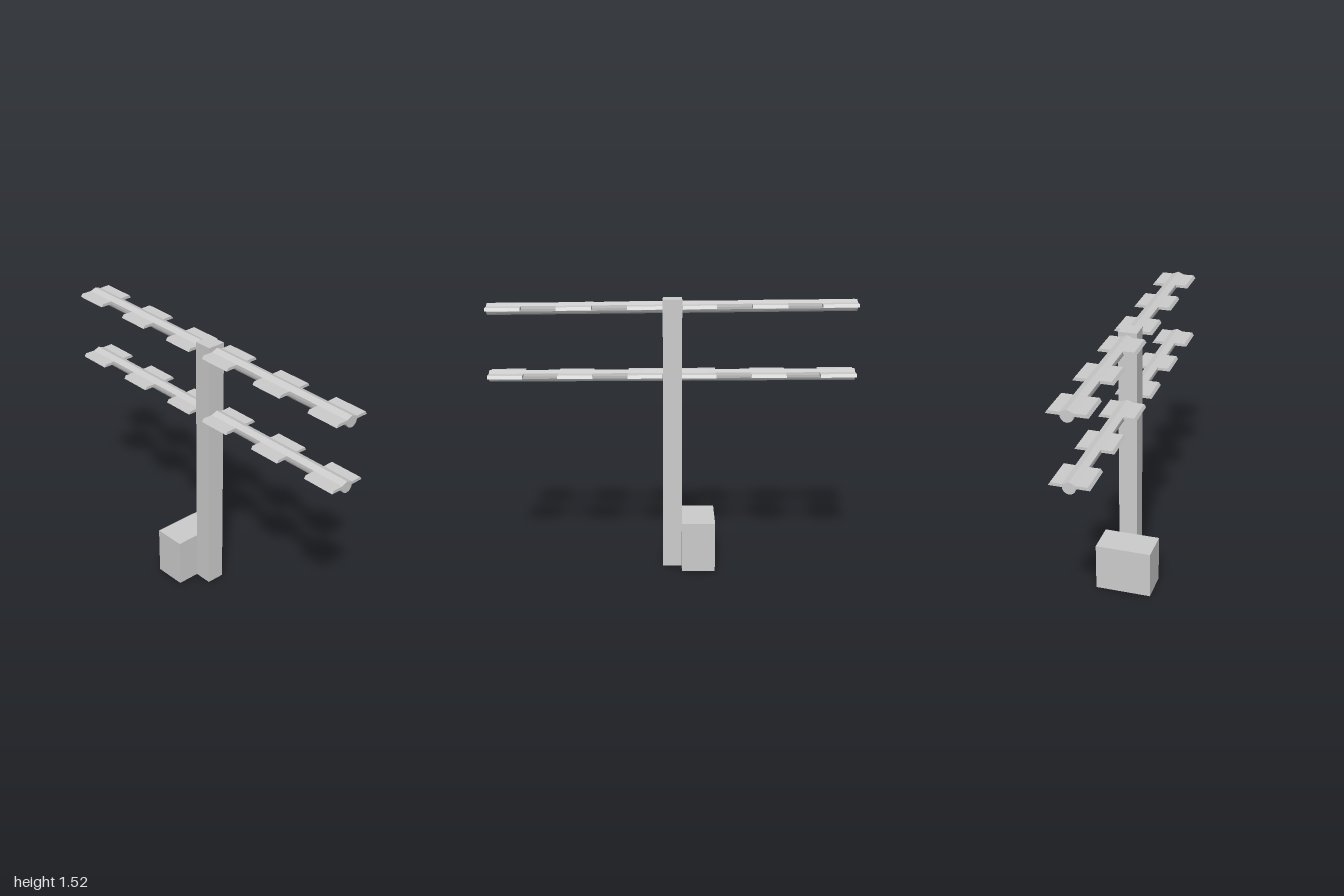
import * as THREE from 'three';

const material = new THREE.MeshStandardMaterial({ color: 0xcccccc, flatShading: true });

function box(name, x0, x1, y0, y1, z0, z1) {
  const mesh = new THREE.Mesh(new THREE.BoxGeometry(x1 - x0, y1 - y0, z1 - z0), material);
  mesh.position.set((x0 + x1) / 2, (y0 + y1) / 2, (z0 + z1) / 2);
  mesh.name = name;
  return mesh;
}

// Extrude a (z, y) profile along x from x0 to x1
function bar(name, points, x0, x1) {
  const shape = new THREE.Shape(points.map(([z, y]) => new THREE.Vector2(-z, y)));
  const geometry = new THREE.ExtrudeGeometry(shape, { depth: x1 - x0, bevelEnabled: false });
  geometry.rotateY(Math.PI / 2);
  const mesh = new THREE.Mesh(geometry, material);
  mesh.position.x = x0;
  mesh.name = name;
  return mesh;
}

// Rail: shallow ridged roof over a rounded underside
const R = 0.035;
const railProfile = [[-R, 0.051], [0, 0.065], [R, 0.051]];
for (let i = 0; i <= 8; i++) {
  const a = (i / 8) * Math.PI;
  railProfile.push([R * Math.cos(a), R - R * Math.sin(a)]);
}

// Wing: thin plate with a slanted outer edge
const wingProfile = (s) => [[s * R, 0.051], [s * 0.095, 0.052], [s * 0.106, R], [s * R, R]];

// Three pairs of wings on each half of the crossarm
const wingSpans = [
  [-1, -0.805], [-0.62, -0.43], [-0.24, -0.055],
  [0.05, 0.24], [0.43, 0.62], [0.81, 1],
];

function crossarm(name, y, tilt) {
  const arm = new THREE.Group();
  arm.name = name;
  arm.add(bar('rightRail', railProfile, -1, -0.055), bar('leftRail', railProfile, 0.05, 1));
  for (const [x0, x1] of wingSpans) {
    arm.add(bar('frontWing', wingProfile(1), x0, x1));
    arm.add(bar('backWing', wingProfile(-1), x0, x1));
  }
  arm.position.set(0, y, -0.027);
  arm.rotation.z = tilt;
  return arm;
}

export function createModel() {
  const model = new THREE.Group();
  model.name = 'crossarmPost';
  model.add(
    box('post', -0.055, 0.05, 0, 1.52, -0.077, 0.028),
    box('baseBlock', -0.24, -0.055, 0, 0.28, -0.16, 0.16),
    crossarm('upperCrossarm', 1.441, -0.011),
    crossarm('lowerCrossarm', 1.066, -0.005),
  );
  return model;
}
